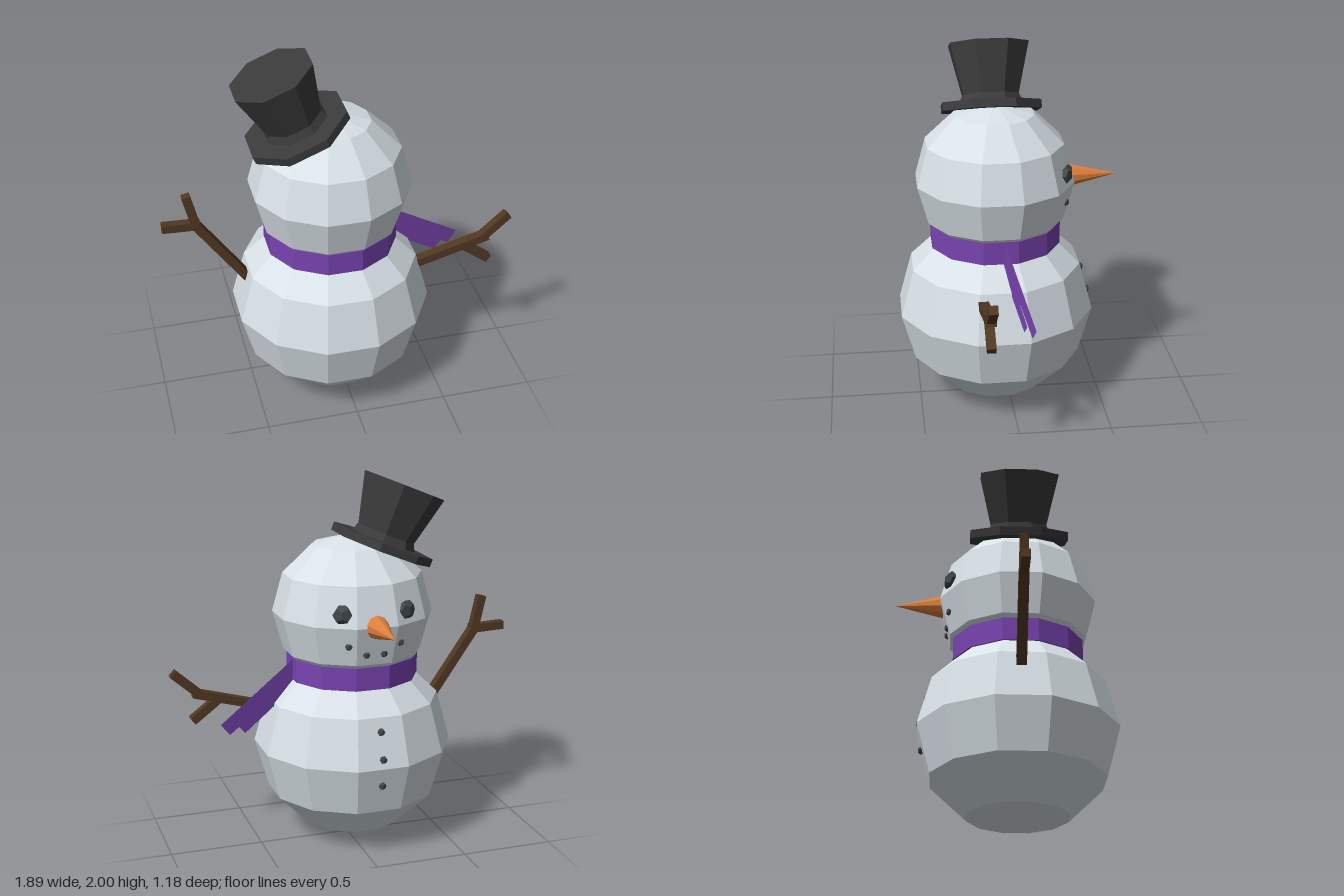
import * as THREE from 'three';

const mat = (name, color, side = THREE.FrontSide) =>
  Object.assign(new THREE.MeshStandardMaterial({ color, flatShading: true, side }), { name });

export function createModel() {
  const snow = mat('snow', 0xdbe4ea);
  const hatBlack = mat('hat black', 0x3b3b3b);
  const coal = mat('coal', 0x42474a);
  const wood = mat('wood', 0x523822);
  const carrot = mat('carrot orange', 0xde7f3c);
  const purple = mat('scarf purple', 0x7843b0, THREE.DoubleSide);

  const model = new THREE.Group();
  model.name = 'snowman';
  const CX = -0.05, CZ = 0.072, TURN = Math.PI / 12;

  const add = (name, geometry, material, x = 0, y = 0, z = 0, parent = model) => {
    const mesh = new THREE.Mesh(geometry, material);
    mesh.name = name;
    mesh.position.set(x, y, z);
    parent.add(mesh);
    return mesh;
  };

  // Snowballs: twelve sides with flats facing the axes
  const snowball = (name, r, ry, y) => {
    const g = new THREE.SphereGeometry(1, 12, 6).rotateY(TURN).scale(r, ry, r);
    add(name, g, snow, CX, y, CZ);
  };
  snowball('body', 0.541, 0.526, 0.53);
  snowball('head', 0.432, 0.42, 1.265);

  // Scarf ring and its two hanging tails
  add('scarf', new THREE.CylinderGeometry(0.357, 0.357, 0.125, 12).rotateY(TURN), purple, CX, 0.973, CZ);
  const tail = (name, corners, dz) => {
    const pts = corners.map(([x, y]) => new THREE.Vector3(x, y, 0.03 - 0.25 * (x - 0.37) + dz));
    const g = new THREE.BufferGeometry().setFromPoints([0, 2, 1, 0, 3, 2].map(i => pts[i]));
    g.computeVertexNormals();
    add(name, g, purple);
  };
  tail('scarfTailLong', [[0.28, 1.03], [0.72, 0.73], [0.67, 0.665], [0.28, 0.915]], 0);
  tail('scarfTailShort', [[0.27, 0.98], [0.62, 0.705], [0.58, 0.655], [0.27, 0.87]], 0.008);

  // Tilted eight-sided top hat
  const hat = new THREE.Group();
  hat.name = 'hat';
  hat.position.set(-0.22, 1.61, CZ);
  hat.rotation.z = THREE.MathUtils.degToRad(22);
  model.add(hat);
  const flat = 1 / Math.cos(Math.PI / 8);
  add('hatBrim', new THREE.CylinderGeometry(0.2625 * flat, 0.2625 * flat, 0.045, 8).rotateY(Math.PI / 8),
    hatBlack, 0, 0, 0, hat);
  const profile = [[0, 0], [0.165, 0.02], [0.148, 0.065], [0.21, 0.338], [0, 0.338]]
    .map(([r, y]) => new THREE.Vector2(r * flat, y));
  add('hatCrown', new THREE.LatheGeometry(profile, 8).rotateY(Math.PI / 8), hatBlack, 0, 0, 0, hat);

  // Carrot nose
  add('nose', new THREE.ConeGeometry(0.065, 0.27, 10).rotateX(-Math.PI / 2), carrot, CX, 1.265, -0.455);

  // Coal lumps, placed by angle around the vertical axis and turned outward
  const lump = (name, angle, y, radius, size, depth) => {
    const a = THREE.MathUtils.degToRad(angle);
    const g = new THREE.DodecahedronGeometry(1).scale(size, size, depth);
    const m = add(name, g, coal, CX + radius * Math.sin(a), y, CZ - radius * Math.cos(a));
    m.rotation.y = -a;
  };
  for (const s of [-1, 1]) {
    lump('eye', s * 25.6, 1.335, 0.405, 0.054, 0.03);
    lump('mouthInner', s * 7.3, 1.115, 0.378, 0.021, 0.018);
    lump('mouthOuter', s * 21, 1.165, 0.393, 0.021, 0.018);
  }
  [[0.72, 0.474], [0.58, 0.513], [0.43, 0.499]].forEach(([y, r]) => lump('button', 0, y, r, 0.022, 0.018));

  // Stick arms made of square bars lying in a plane of constant z
  const arm = (name, z, bars) => {
    const group = new THREE.Group();
    group.name = name;
    model.add(group);
    bars.forEach(([x0, y0, x1, y1], i) => {
      const length = Math.hypot(x1 - x0, y1 - y0);
      const m = add(i ? 'twig' : 'branch', new THREE.BoxGeometry(length, 0.046, i ? 0.046 : 0.052), wood,
        (x0 + x1) / 2, (y0 + y1) / 2, z, group);
      m.rotation.z = Math.atan2(y1 - y0, x1 - x0);
    });
  };
  arm('rightArm', 0.068, [
    [-0.46, 0.655, -0.775, 1.11],
    [-0.765, 1.09, -0.81, 1.285],
    [-0.745, 1.1, -0.945, 1.108],
  ]);
  arm('leftArm', 0.177, [
    [0.32, 0.708, 0.815, 0.845],
    [0.78, 0.835, 0.925, 0.965],
    [0.68, 0.8, 0.825, 0.69],
  ]);

  return model;
}
